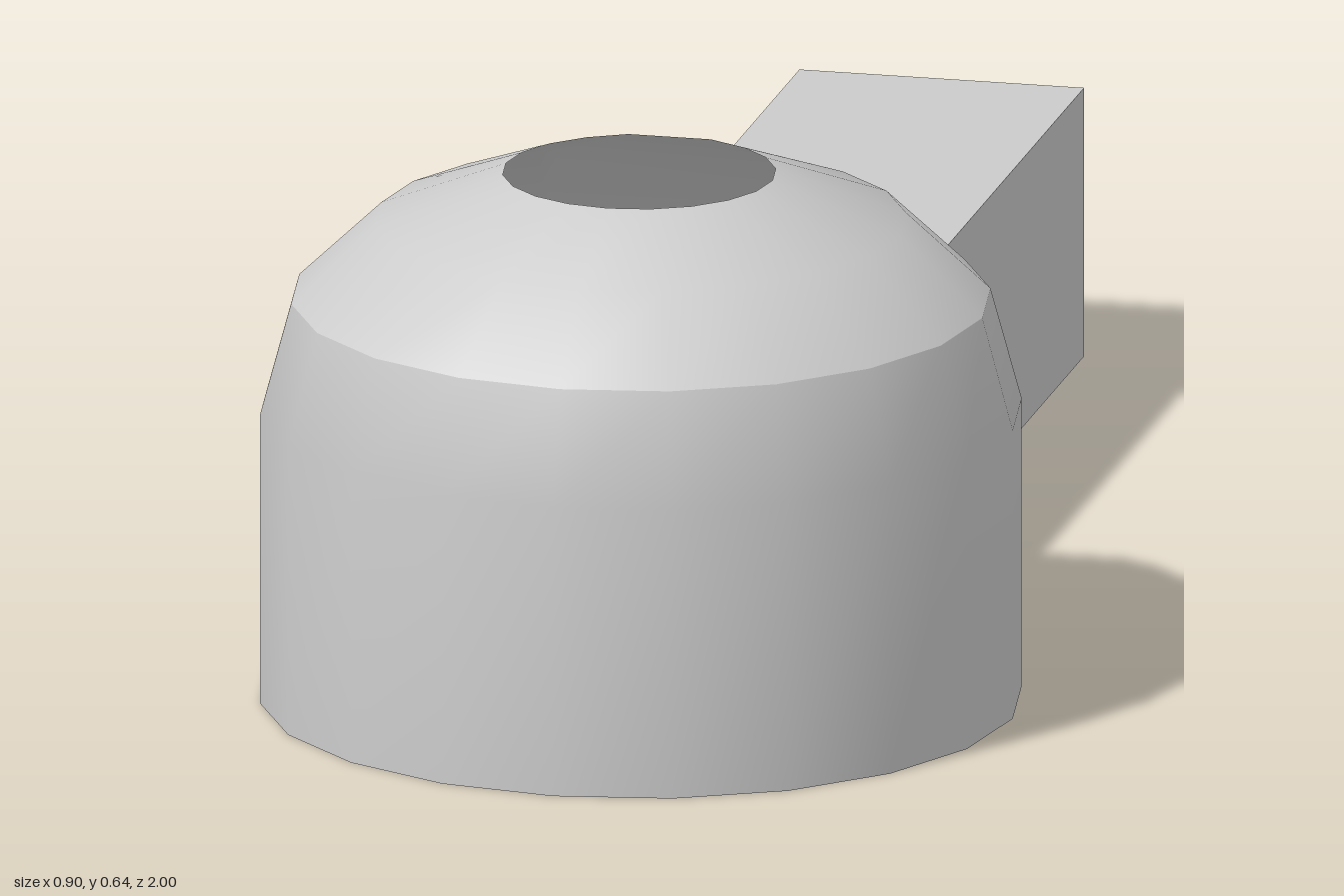
import * as THREE from 'three';
import { mergeVertices } from 'three/addons/utils/BufferGeometryUtils.js';

const SIDES = 20;
const DOOR = 0.173, DOOR_H = 0.33, DOOR_Z = 0.115, BACK = -1;

// Skin a surface over rows of [x, y, z] points
function loft(rows, wrap = false, flat = false) {
  const n = rows[0].length, index = [];
  for (let j = 0; j < rows.length - 1; j++) {
    for (let i = 0; i < (wrap ? n : n - 1); i++) {
      const a = j * n + i, b = j * n + (i + 1) % n;
      index.push(a, a + n, b, b, a + n, b + n);
    }
  }
  let g = new THREE.BufferGeometry();
  g.setAttribute('position', new THREE.Float32BufferAttribute(rows.flat(2), 3));
  g.setIndex(index);
  g = flat ? g.toNonIndexed() : mergeVertices(g);
  g.computeVertexNormals();
  return g;
}

// Ring running from the back over +x, front and -x, ending in a mirrored corner
function ring(r, y, zc, [ex, ey, ez]) {
  const pts = [[ex, ey, ez]];
  for (let i = 2; i <= SIDES - 2; i++) {
    const a = i / SIDES * Math.PI * 2;
    pts.push([r * Math.sin(a), y, zc - r * Math.cos(a)]);
  }
  pts.push([-ex, ey, ez]);
  return pts;
}

export function createModel() {
  const group = new THREE.Group();
  const material = new THREE.MeshStandardMaterial({ color: 0xcccccc, side: THREE.DoubleSide });
  const add = (name, geometry) => {
    const mesh = new THREE.Mesh(geometry, material);
    mesh.name = name;
    group.add(mesh);
  };

  const base = ring(0.452, 0, 0.548, [DOOR, 0, DOOR_Z]);
  const wallTop = ring(0.452, 0.354, 0.548, [DOOR, DOOR_H, DOOR_Z]);
  const bandBottom = ring(0.452, 0.354, 0.548, [0.208, 0.354, 0.15]);
  const bandTop = ring(0.415, 0.49, 0.548, [0.2, 0.49, 0.19]);
  const shoulder = ring(0.315, 0.585, 0.548, [0.165, 0.585, 0.285]);
  const rim = ring(0.162, 0.645, 0.556, [0.05, 0.645, 0.4]);

  // Round wall with its tapering upper band, open at the doorway
  add('wall', loft([base, wallTop, bandBottom, bandTop]));

  // Roof with a round smoke hole, flattened towards the tunnel
  add('roof', loft([bandTop, shoulder, rim], true));

  // Flat panel over the doorway and the sloped ledge below it
  const ends = (r) => [r[r.length - 1], r[0]];
  add('doorPanel', loft([ends(bandBottom), ends(bandTop)], false, true));
  add('doorLedge', loft([ends(wallTop), ends(bandBottom)], false, true));

  // Entrance tunnel, open at both ends
  const arch = [[-DOOR, 0], [-DOOR, DOOR_H], [DOOR, DOOR_H], [DOOR, 0]];
  const section = (z) => arch.map(([x, y]) => [x, y, z]);
  add('tunnel', loft([section(BACK), section(DOOR_Z)], false, true));

  // One floor under room and tunnel
  const outline = [...base, [-DOOR, 0, BACK], [DOOR, 0, BACK]];
  const floor = new THREE.ShapeGeometry(new THREE.Shape(outline.map(([x, , z]) => new THREE.Vector2(x, z))));
  floor.rotateX(Math.PI / 2);
  add('floor', floor);

  return group;
}
